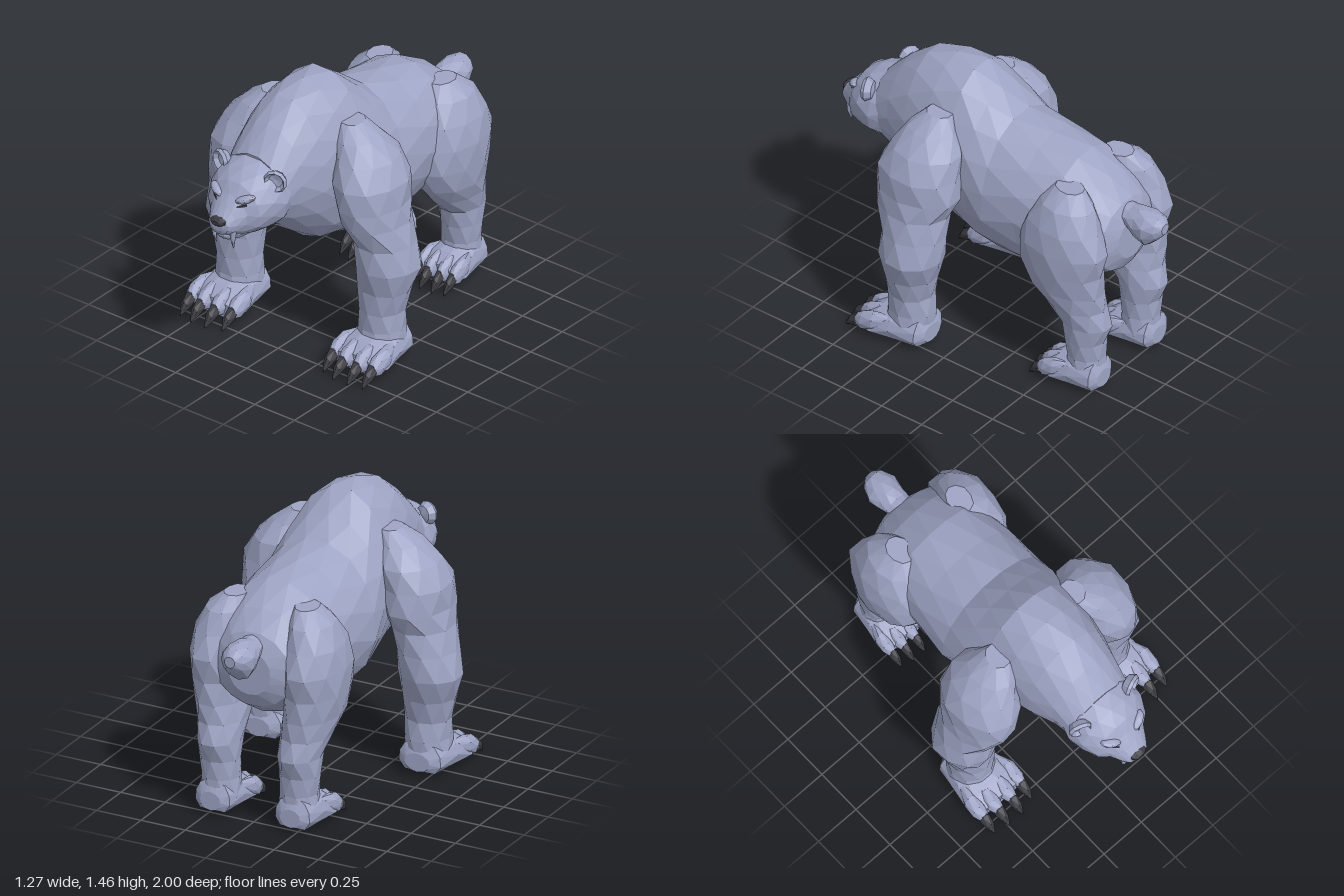
import * as THREE from 'three';

// Faceted skin over elliptical rings [t, cu, cv, ru, rv]; axis 'z' -> (u,v)=(x,y), axis 'y' -> (u,v)=(x,z)
function loft(rows, n, axis = 'z', wobble = 0.025, floor = -1) {
  const pos = [], index = [], tau = Math.PI * 2;
  const put = (t, u, v) => axis === 'z' ? pos.push(u, Math.max(v, floor), t) : pos.push(u, t, v);
  const dir = axis === 'z' ? 1 : -1;
  rows.forEach(([t, cu, cv, ru, rv], i) => {
    for (let j = 0; j < n; j++) {
      const a = -Math.PI / 2 + (j + (i % 2) / 2) / n * tau;
      const k = 1 + wobble * Math.sin(3.1 * i + 5 * Math.sin(a));
      put(t, cu + Math.cos(a) * ru * k, cv + dir * Math.sin(a) * rv * k);
    }
  });
  for (let i = 0; i < rows.length - 1; i++) {
    for (let j = 0; j < n; j++) {
      const k = (j + 1) % n, p = i * n, q = p + n;
      if (i % 2 === 0) index.push(p + j, p + k, q + j, p + k, q + k, q + j);
      else index.push(p + j, p + k, q + k, p + j, q + k, q + j);
    }
  }
  // End caps
  const first = rows[0], last = rows[rows.length - 1], c0 = pos.length / 3;
  put(first[0], first[1], first[2]);
  put(last[0], last[1], last[2]);
  const e = (rows.length - 1) * n;
  for (let j = 0; j < n; j++) {
    const k = (j + 1) % n;
    index.push(c0, k, j, c0 + 1, e + j, e + k);
  }
  const g = new THREE.BufferGeometry();
  g.setAttribute('position', new THREE.Float32BufferAttribute(pos, 3));
  g.setIndex(index);
  return g;
}

// Unshared corners give every facet its own normal
function facet(geometry) {
  const g = geometry.index ? geometry.toNonIndexed() : geometry;
  g.computeVertexNormals();
  return g;
}

function mirrorX(geometry) {
  const g = facet(geometry).clone(), p = g.attributes.position;
  for (let i = 0; i < p.count; i += 3) {
    const t = [0, 2, 1].map(k => [-p.getX(i + k), p.getY(i + k), p.getZ(i + k)]);
    t.forEach((v, k) => p.setXYZ(i + k, ...v));
  }
  g.computeVertexNormals();
  return g;
}

export function createModel() {
  const model = new THREE.Group();
  model.name = 'bear';
  const paint = (name, color) => {
    const m = new THREE.MeshStandardMaterial({ color, flatShading: true });
    m.name = name;
    return m;
  };
  const fur = paint('fur', 0x9ea4c4);
  const dark = paint('claw', 0x3b3b42);

  const add = (name, geometry, material = fur) => {
    const mesh = new THREE.Mesh(facet(geometry), material);
    mesh.name = name;
    model.add(mesh);
  };
  const pair = (name, geometry, material = fur) => {
    add(name + 'Left', geometry, material);
    add(name + 'Right', mirrorX(geometry), material);
  };
  const centred = rows => rows.map(([z, cy, rx, ry]) => [z, 0, cy, rx, ry]);

  // Torso with shoulder hump and neck
  add('torso', loft(centred([
    [-0.80, 0.84, 0.12, 0.12], [-0.76, 0.84, 0.22, 0.20], [-0.66, 0.86, 0.28, 0.28],
    [-0.50, 0.885, 0.31, 0.335], [-0.30, 0.878, 0.325, 0.378], [-0.10, 0.885, 0.335, 0.395],
    [0.02, 0.94, 0.32, 0.44], [0.15, 0.995, 0.30, 0.475], [0.30, 1.025, 0.28, 0.455],
    [0.45, 1.05, 0.255, 0.38], [0.58, 1.055, 0.215, 0.285], [0.70, 1.02, 0.19, 0.19],
  ]), 16, 'z', 0.012));

  // Stub tail
  add('tail', loft(centred([
    [-1.0, 0.97, 0.03, 0.03], [-0.97, 0.965, 0.065, 0.065], [-0.91, 0.945, 0.09, 0.1],
    [-0.85, 0.95, 0.08, 0.09], [-0.80, 0.965, 0.07, 0.065], [-0.70, 0.97, 0.06, 0.06],
  ]), 10));

  // Head, jaw and nose
  add('head', loft(centred([
    [0.60, 1.02, 0.19, 0.20], [0.70, 1.01, 0.215, 0.19], [0.78, 1.005, 0.20, 0.175],
    [0.85, 0.985, 0.165, 0.145], [0.89, 0.965, 0.115, 0.115], [0.94, 0.945, 0.085, 0.075],
    [0.975, 0.935, 0.06, 0.048], [0.985, 0.935, 0.03, 0.025],
  ]), 14, 'z', 0.015));
  add('jaw', loft(centred([
    [0.78, 0.87, 0.10, 0.045], [0.88, 0.866, 0.075, 0.036],
    [0.935, 0.868, 0.05, 0.026], [0.952, 0.87, 0.02, 0.012],
  ]), 10));
  add('nose', loft(centred([
    [0.95, 0.965, 0.052, 0.026], [0.985, 0.96, 0.046, 0.023], [1.0, 0.956, 0.022, 0.012],
  ]), 8, 'z', 0), dark);

  // Brows, eyes, ears and fangs
  const brow = new THREE.IcosahedronGeometry(1, 1).scale(0.055, 0.02, 0.03);
  pair('brow', brow.rotateZ(0.3).rotateY(0.5).translate(0.088, 1.068, 0.872));
  const eye = new THREE.BoxGeometry(0.05, 0.011, 0.009);
  pair('eye', eye.rotateZ(0.3).rotateY(0.6).translate(0.083, 1.036, 0.893), dark);
  const earProfile = [[0, -0.035], [0.045, -0.025], [0.062, 0.008], [0.052, 0.025], [0.036, 0.002], [0, -0.006]];
  const ear = new THREE.LatheGeometry(earProfile.map(p => new THREE.Vector2(...p)), 10);
  pair('ear', ear.rotateX(Math.PI / 2).rotateY(0.35).translate(0.168, 1.14, 0.73));
  pair('fang', loft([
    [0.80, 0.054, 0.922, 0.002, 0.002], [0.845, 0.058, 0.932, 0.011, 0.012], [0.92, 0.06, 0.93, 0.018, 0.018],
  ], 6, 'y', 0));

  // Front legs, ankle to shoulder
  pair('frontLeg', loft([
    [0.10, 0.45, 0.24, 0.125, 0.13], [0.20, 0.45, 0.235, 0.12, 0.125], [0.30, 0.45, 0.235, 0.12, 0.12],
    [0.42, 0.46, 0.23, 0.14, 0.135], [0.55, 0.475, 0.215, 0.165, 0.17], [0.68, 0.455, 0.22, 0.155, 0.17],
    [0.80, 0.42, 0.24, 0.16, 0.20], [0.90, 0.40, 0.24, 0.165, 0.235], [1.02, 0.385, 0.235, 0.175, 0.225],
    [1.13, 0.35, 0.225, 0.15, 0.19], [1.22, 0.30, 0.225, 0.11, 0.13], [1.29, 0.25, 0.22, 0.06, 0.07],
  ], 10, 'y'));

  // Hind legs, ankle to haunch
  pair('hindLeg', loft([
    [0.10, 0.22, -0.68, 0.105, 0.105], [0.20, 0.22, -0.68, 0.10, 0.10], [0.30, 0.225, -0.68, 0.105, 0.11],
    [0.40, 0.225, -0.68, 0.11, 0.14], [0.50, 0.235, -0.625, 0.125, 0.175], [0.60, 0.25, -0.575, 0.14, 0.215],
    [0.72, 0.26, -0.56, 0.15, 0.24], [0.85, 0.265, -0.565, 0.15, 0.25], [0.97, 0.255, -0.57, 0.14, 0.21],
    [1.08, 0.235, -0.57, 0.11, 0.15], [1.15, 0.20, -0.56, 0.06, 0.08],
  ], 10, 'y'));

  // Paws: flat sole, four toes, four hooked claws
  const paw = (name, x, heel, sx, sz) => {
    const rows = list => list.map(([z, cx, cy, rx, ry]) => [heel + z * sz, x + cx * sx, cy, rx * sx, ry]);
    pair(name + 'Paw', loft(rows([
      [0, 0, 0.09, 0.07, 0.05], [0.03, 0, 0.10, 0.12, 0.10], [0.17, 0, 0.10, 0.145, 0.105],
      [0.28, 0, 0.08, 0.16, 0.085], [0.35, 0, 0.07, 0.14, 0.05],
    ]), 12, 'z', 0.02, 0.032));
    [[-0.13, -0.025], [-0.045, 0.005], [0.045, 0.005], [0.125, -0.015]].forEach(([tx, dz], i) => {
      pair(name + 'Toe' + (i + 1), loft(rows([
        [0.20 + dz, tx * 0.85, 0.13, 0.022, 0.03], [0.28 + dz, tx, 0.11, 0.04, 0.055],
        [0.345 + dz, tx, 0.09, 0.042, 0.055], [0.385 + dz, tx, 0.08, 0.026, 0.035],
      ]), 8, 'z', 0, 0.032));
      pair(name + 'Claw' + (i + 1), loft(rows([
        [0.34 + dz, tx, 0.085, 0.026, 0.03], [0.39 + dz, tx, 0.073, 0.03, 0.04],
        [0.43 + dz, tx, 0.05, 0.022, 0.03], [0.46 + dz, tx, 0.015, 0.003, 0.006],
      ]), 6, 'z', 0), dark);
    });
  };
  paw('front', 0.45, 0.11, 1, 1);
  paw('hind', 0.225, -0.79, 0.82, 0.87);

  return model;
}
